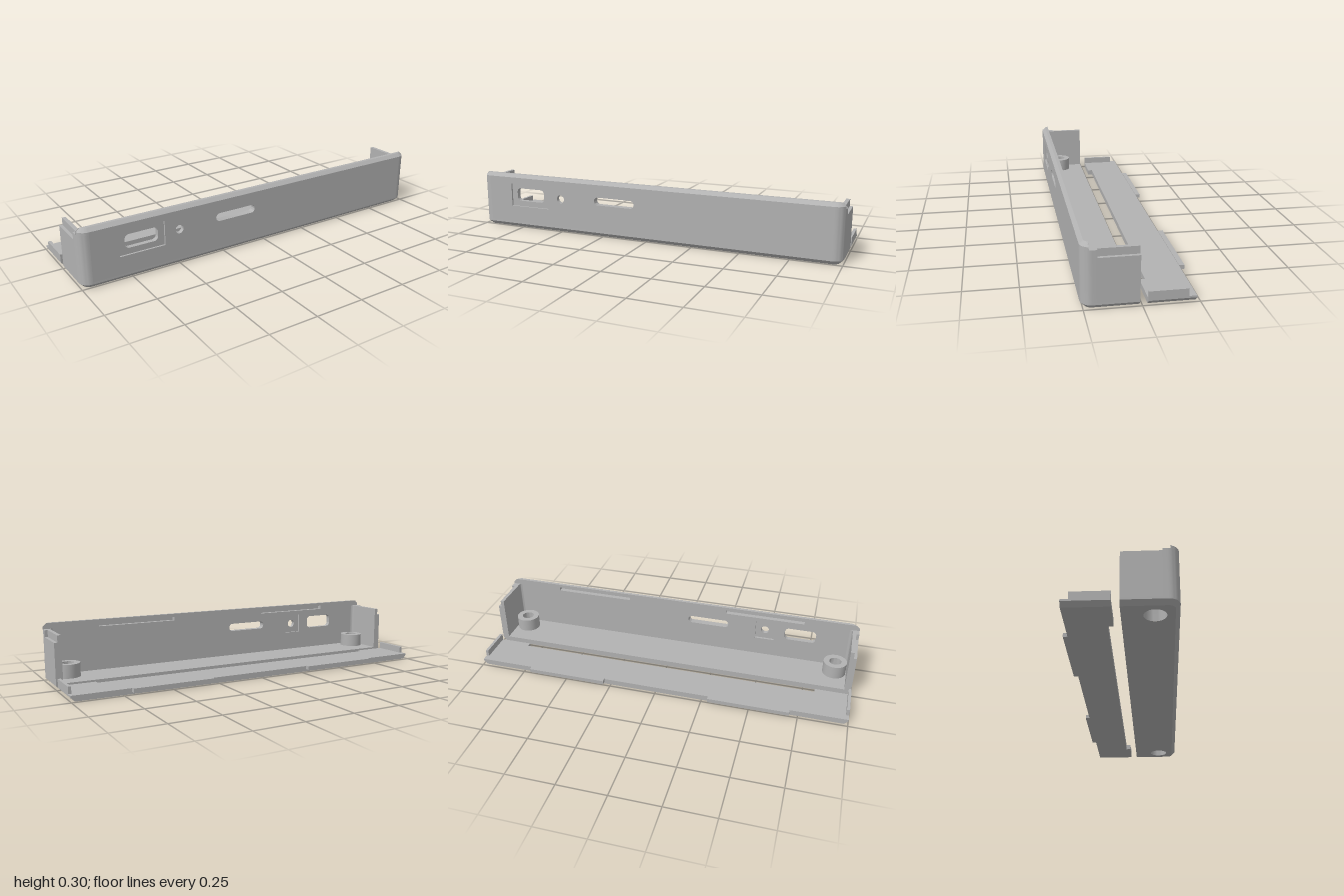
import * as THREE from 'three';
import { toCreasedNormals } from 'three/addons/utils/BufferGeometryUtils.js';

const plastic = new THREE.MeshStandardMaterial({ color: 0xb2b2b2 });
plastic.name = 'grey plastic';

const WALL = 0.035, R = 0.05, CX = 0.95, CZ = 0.21, FRONT = 0.26, BACK = 0.01;
const FLOOR = 0.03, SIDE_TOP = 0.267, SHOULDER = 0.28, TOP = 0.297;

function add(parent, name, geometry) {
  const mesh = new THREE.Mesh(geometry, plastic);
  mesh.name = name;
  parent.add(mesh);
  return mesh;
}

// Box given by its minimum and maximum on each axis
function box(parent, name, x0, x1, y0, y1, z0, z1) {
  const g = new THREE.BoxGeometry(Math.abs(x1 - x0), y1 - y0, z1 - z0);
  g.translate((x0 + x1) / 2, (y0 + y1) / 2, (z0 + z1) / 2);
  return add(parent, name, g);
}

const toShape = (pts) => new THREE.Shape(pts.map(([x, y]) => new THREE.Vector2(x, y)));

// Extrudes an x-y outline along z
function extrudeZ(shape, z0, z1) {
  const g = new THREE.ExtrudeGeometry(shape, { depth: z1 - z0, bevelEnabled: false, curveSegments: 12 });
  return toCreasedNormals(g.translate(0, 0, z0), 0.6);
}

// Extrudes an x-z plan upward
function extrudeY(plan, y0, y1) {
  const g = new THREE.ExtrudeGeometry(toShape(plan.map(([x, z]) => [x, -z])), { depth: y1 - y0, bevelEnabled: false });
  return toCreasedNormals(g.rotateX(-Math.PI / 2).translate(0, y0, 0), 0.6);
}

// Rounded front corner of the plan, inset by d
function cornerArc(d, zMin = 0) {
  const pts = [];
  for (let i = 0; i <= 10; i++) {
    const a = (i / 10) * Math.PI / 2;
    pts.push([CX + (R - d) * Math.cos(a), Math.max(zMin, CZ + (R - d) * Math.sin(a))]);
  }
  return pts;
}

// U-shaped plan from the left end round the front to the right end
function uPath(d, zEnd) {
  const half = [[1 - d, zEnd], ...cornerArc(d, zEnd)];
  return [...half, ...half.slice().reverse().map(([x, z]) => [-x, z])];
}

// Sweeps an [inset, y] profile along the U-shaped plan
function sweepU(profile, zEnd, closed) {
  const rows = profile.map(([d, y]) => uPath(d, zEnd).map(([x, z]) => [x, y, z]));
  const n = rows[0].length, m = rows.length, pos = [];
  const tri = (...v) => v.forEach((p) => pos.push(...p));
  for (let j = 0; j < (closed ? m : m - 1); j++) {
    const lo = rows[j], hi = rows[(j + 1) % m];
    for (let i = 0; i < n - 1; i++) {
      tri(lo[i], hi[i], lo[i + 1]);
      tri(lo[i + 1], hi[i], hi[i + 1]);
    }
  }
  if (closed) {
    for (let j = 1; j < m - 1; j++) {
      tri(rows[0][0], rows[j + 1][0], rows[j][0]);
      tri(rows[0][n - 1], rows[j][n - 1], rows[j + 1][n - 1]);
    }
  }
  const g = new THREE.BufferGeometry();
  g.setAttribute('position', new THREE.Float32BufferAttribute(pos, 3));
  return toCreasedNormals(g, 0.6);
}

// Rounded rectangle used for openings
function roundedHole(x0, x1, y0, y1, r) {
  const p = new THREE.Path();
  p.moveTo(x0 + r, y0).lineTo(x1 - r, y0);
  p.absarc(x1 - r, y0 + r, r, -Math.PI / 2, 0, false);
  p.absarc(x1 - r, y1 - r, r, 0, Math.PI / 2, false);
  p.absarc(x0 + r, y1 - r, r, Math.PI / 2, Math.PI, false);
  p.absarc(x0 + r, y0 + r, r, Math.PI, Math.PI * 1.5, false);
  return p;
}

const rectHole = (x0, x1, y0, y1) =>
  new THREE.Path([[x0, y0], [x1, y0], [x1, y1], [x0, y1]].map(([x, y]) => new THREE.Vector2(x, y)));

function buildFloor(body) {
  const screws = [-0.9, 0.9];
  const withHoles = (shape, z, r) => {
    for (const x of screws) shape.holes.push(new THREE.Path().absarc(x, z, r, 0, Math.PI * 2, true));
    return new THREE.ShapeGeometry(shape, 32);
  };
  // Chamfered rim, underside, upper side and rear edge
  add(body, 'floorEdge', sweepU([[0.02, 0], [0, 0.02], [0, FLOOR]], BACK, false));
  add(body, 'floorUnderside', withHoles(toShape(uPath(0.02, BACK)), 0.155, 0.05).rotateX(Math.PI / 2));
  const top = toShape(uPath(0, BACK).map(([x, z]) => [x, -z]));
  add(body, 'floorTop', withHoles(top, -0.155, 0.055).rotateX(-Math.PI / 2).translate(0, FLOOR, 0));
  const rear = toShape([[-0.98, 0], [0.98, 0], [1, 0.02], [1, FLOOR], [-1, FLOOR], [-1, 0.02]]);
  add(body, 'floorRearEdge', new THREE.ShapeGeometry(rear).rotateY(Math.PI).translate(0, 0, BACK));

  // Counterbored screw bosses
  const profile = [[0.062, FLOOR], [0.062, 0.1], [0.032, 0.1], [0.032, 0.07], [0.05, 0.07], [0.05, 0]];
  for (const x of screws) {
    const g = new THREE.LatheGeometry(profile.reverse().map(([r, y]) => new THREE.Vector2(r, y)), 32);
    profile.reverse();
    // Lathe faces outward when the profile rises on its outer side
    const idx = g.index.array;
    const p = g.attributes.position;
    const a = new THREE.Vector3(), b = new THREE.Vector3(), c = new THREE.Vector3();
    const last = idx.length - 6;
    a.fromBufferAttribute(p, idx[last]);
    b.fromBufferAttribute(p, idx[last + 1]);
    c.fromBufferAttribute(p, idx[last + 2]);
    const mid = a.clone().add(b).add(c).setY(0);
    if (b.sub(a).cross(c.sub(a)).dot(mid) < 0) {
      for (let i = 0; i < idx.length; i += 3) [idx[i], idx[i + 1]] = [idx[i + 1], idx[i]];
    }
    add(body, 'screwBoss', toCreasedNormals(g, 0.6)).position.set(x, 0, 0.155);
  }
}

function buildFrontWall(body) {
  // Panel outline, with notches for the lid tabs where wanted
  const outline = (notched) => {
    const pts = [[-CX, FLOOR], [CX, FLOOR], [CX, SHOULDER]];
    if (notched) {
      for (const [a, b] of [[0.71, 0.28], [-0.28, -0.71]]) {
        pts.push([a, SHOULDER], [a, 0.26], [b, 0.26], [b, SHOULDER]);
      }
    }
    pts.push([-CX, SHOULDER]);
    return toShape(pts);
  };
  const port = () => roundedHole(-0.78, -0.61, 0.15, 0.22, 0.022);
  const slot = () => roundedHole(-0.295, -0.065, 0.171, 0.213, 0.0209);
  const pin = () => new THREE.Path().absarc(-0.5, 0.183, 0.022, 0, Math.PI * 2, true);
  const layers = [
    ['frontWallInner', WALL_IN, 0.237, true, [port(), slot(), rectHole(-0.552, -0.448, 0.131, 0.235)]],
    ['frontWallCore', 0.237, 0.25, true, [port(), slot(), pin()]],
    ['frontWallOuter', 0.25, FRONT, false, [rectHole(-0.812, -0.578, 0.12, 0.245), slot(), pin()]],
  ];
  for (const [name, z0, z1, notched, holes] of layers) {
    const shape = outline(notched);
    shape.holes.push(...holes);
    add(body, name, extrudeZ(shape, z0, z1));
  }
  // Raised chamfered rim along the top
  add(body, 'frontRim', sweepU([[0, SHOULDER], [0.018, TOP], [WALL, TOP], [WALL, SHOULDER]], WALL_IN, true));
}
const WALL_IN = FRONT - WALL;

function buildSideWalls(body) {
  for (const s of [1, -1]) {
    const flip = (pts) => pts.map(([x, z]) => [s * x, z]);
    const inner = cornerArc(WALL).reverse();
    add(body, 'cornerWall', extrudeY(flip([[1, 0.19], ...cornerArc(0), ...inner, [1 - WALL, 0.19]]), FLOOR, SIDE_TOP));
    const cap = [[1, WALL_IN], ...cornerArc(0).filter(([, z]) => z > WALL_IN), [CX, WALL_IN]];
    add(body, 'cornerCap', extrudeY(flip(cap), SIDE_TOP, SHOULDER));
    box(body, 'sideWall', s * (1 - WALL), s, FLOOR, 0.232, BACK, 0.19);
    box(body, 'sideLip', s * (1 - WALL), s * 0.984, 0.232, SIDE_TOP, BACK, 0.19);
  }
}

function buildLid(lid) {
  const T = 0.029;
  const plate = toShape([[-0.98, 0], [0.98, 0], [1, 0.02], [1, T], [-1, T], [-1, 0.02]]);
  add(lid, 'lidPlate', extrudeZ(plate, -0.235, -0.05));
  for (const s of [1, -1]) {
    const ear = toShape([[0.815, 0], [0.98, 0], [1, 0.02], [1, T], [0.815, T]].map(([x, y]) => [s * x, y]));
    add(lid, 'lidEar', extrudeZ(ear, -0.05, -0.025));
    box(lid, 'lidRail', s * 0.985, s, T, 0.064, -0.2, -0.025);
    box(lid, 'lidTab', s * 0.285, s * 0.708, 0.012, 0.032, -0.26, -0.235);
  }
}

export function createModel() {
  const model = new THREE.Group();
  model.name = 'enclosure';
  const body = new THREE.Group();
  body.name = 'frontBody';
  const lid = new THREE.Group();
  lid.name = 'lid';
  buildFloor(body);
  buildFrontWall(body);
  buildSideWalls(body);
  buildLid(lid);
  model.add(body, lid);
  return model;
}
